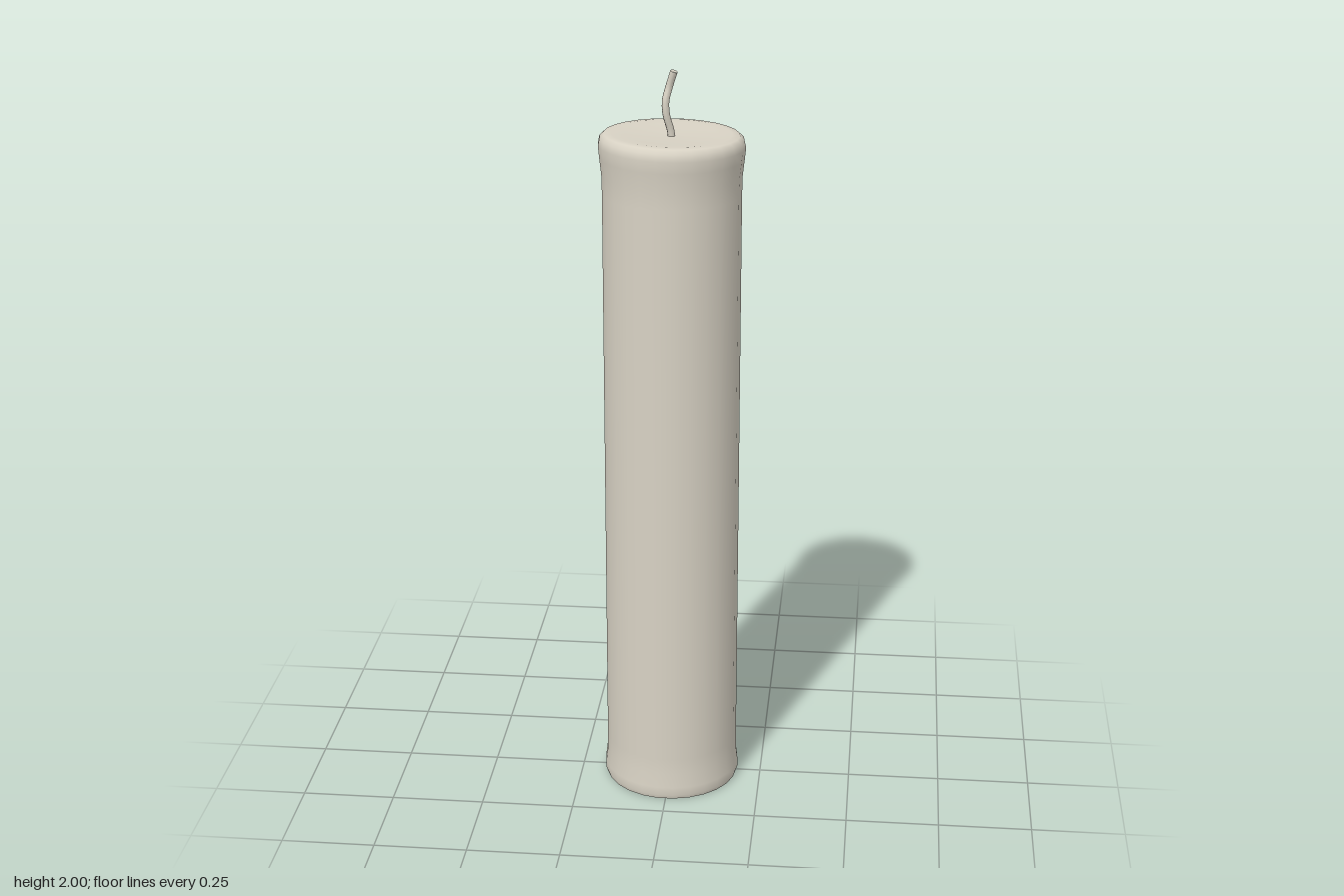
import * as THREE from 'three';

const SIDES = 26;

export function createModel() {
  const model = new THREE.Group();
  model.name = 'candle';
  const wax = new THREE.MeshStandardMaterial({ color: 0xd8d2c4 });
  wax.name = 'ivory wax';

  const add = (name, geometry, parent = model) => {
    const mesh = new THREE.Mesh(geometry, wax);
    mesh.name = name;
    parent.add(mesh);
    return mesh;
  };

  // Wax body: slightly flared foot, straight shaft, swollen rounded lip, shallow dish
  const profile = [
    [0.182, 0], [0.186, 0.012], [0.186, 0.035], [0.181, 0.075], [0.181, 0.12],
    [0.181, 0.9], [0.181, 1.68], [0.182, 1.73], [0.187, 1.775], [0.19, 1.805],
    [0.186, 1.824], [0.175, 1.834], [0.155, 1.836], [0.12, 1.833], [0.05, 1.83], [0, 1.829],
  ].map(([r, y]) => new THREE.Vector2(r, y));
  const bodyGeometry = new THREE.LatheGeometry(profile, SIDES, Math.PI / 2);

  // Melted top leans a little towards the right and the back
  const p = bodyGeometry.attributes.position;
  for (let i = 0; i < p.count; i++) {
    const lean = THREE.MathUtils.smoothstep(p.getY(i), 1.68, 1.82);
    p.setY(i, p.getY(i) + lean * (-0.016 * p.getX(i) + 0.018 * p.getZ(i)));
  }
  add('waxBody', bodyGeometry);

  // Flat underside
  const base = add('baseDisc', new THREE.CircleGeometry(0.182, SIDES));
  base.rotation.x = Math.PI / 2;

  // Curved wick with a flat cut tip
  const wick = new THREE.Group();
  wick.name = 'wick';
  model.add(wick);
  const path = new THREE.CatmullRomCurve3([
    [0.001, 1.815, 0.003], [-0.003, 1.845, 0.004], [-0.013, 1.885, 0.01],
    [-0.015, 1.92, 0.009], [-0.007, 1.955, 0.001], [0.006, 1.997, 0.006],
  ].map((a) => new THREE.Vector3(...a)));
  add('wickStem', new THREE.TubeGeometry(path, 20, 0.0095, 8), wick);
  const tip = add('wickTip', new THREE.CircleGeometry(0.0095, 8), wick);
  tip.position.copy(path.getPoint(1));
  tip.quaternion.setFromUnitVectors(new THREE.Vector3(0, 0, 1), path.getTangent(1));

  return model;
}
